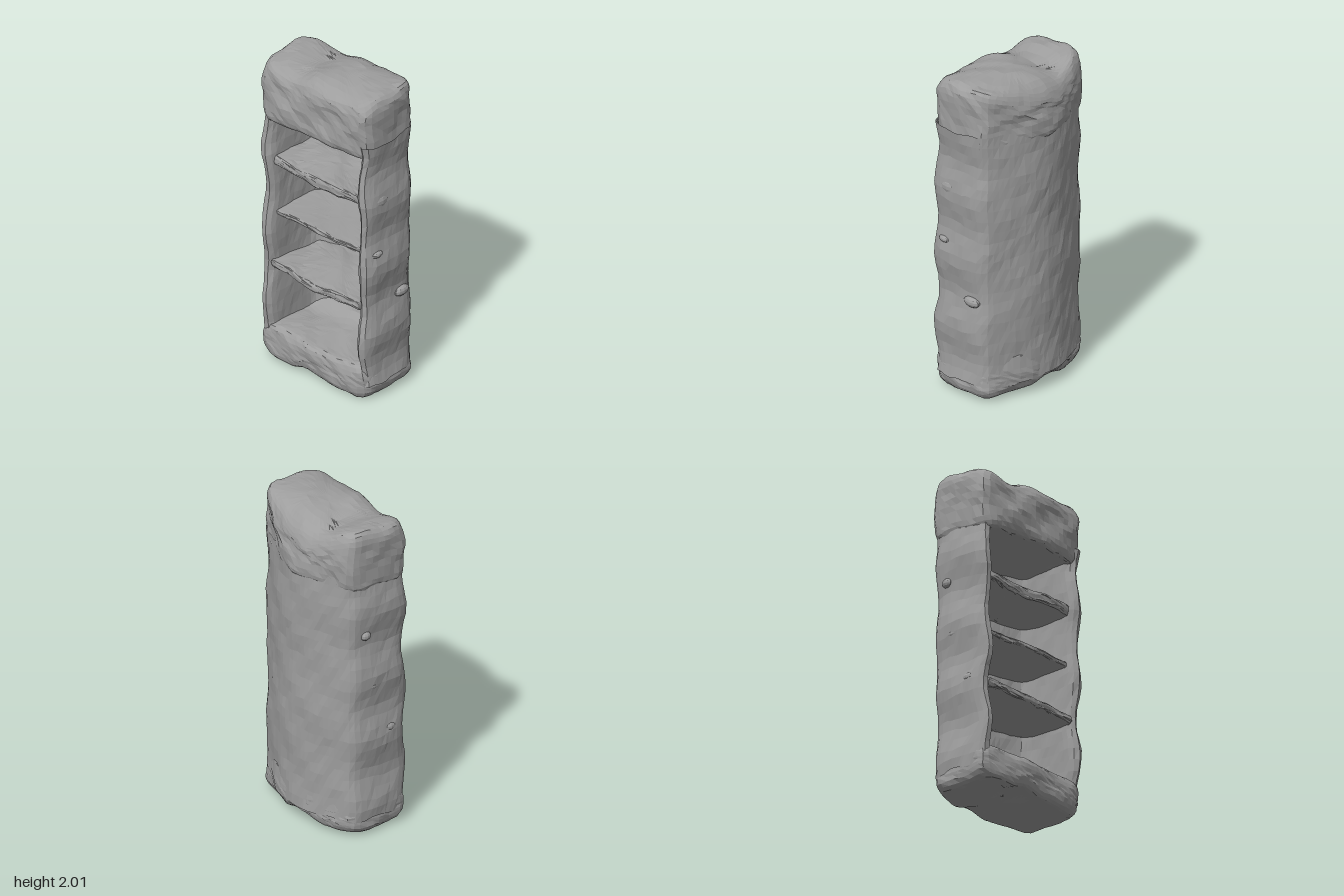
import * as THREE from 'three';

const stone = new THREE.MeshStandardMaterial({ color: 0x9e9e9e, flatShading: true, side: THREE.DoubleSide });

// Smooth rock-like wobble, roughly -1..1
const wobble = (x, y, z, s) =>
  0.45 * Math.sin(9 * x + 7 * y + 5 * z + s) +
  0.35 * Math.sin(-17 * x + 13 * y + 15 * z + 2.3 * s) +
  0.2 * Math.sin(31 * x - 37 * y + 29 * z + 4.1 * s);

// Repeatable fine grit, -1..1
const grit = (a, b) => {
  const t = Math.sin(a * 12.9898 + b * 78.233) * 43758.5453;
  return 2 * (t - Math.floor(t)) - 1;
};

// Closed outline through [x, z] points, resampled evenly
function outline(points, count, tension = 0.3) {
  const curve = new THREE.CatmullRomCurve3(
    points.map(([x, z]) => new THREE.Vector3(x, 0, z)), true, 'catmullrom', tension);
  return curve.getSpacedPoints(count).slice(0, count);
}

// Mirrors the +x half of an outline (front to back) onto -x
const mirrored = half => [...half, ...half.filter(p => p[0] > 0).reverse().map(([x, z]) => [-x, z])];

// Stacks scaled copies of an outline, [y, scale], and roughens the surface
function roughLoft(name, plan, rings, amount, seed, shape) {
  const pos = [], index = [], n = plan.length, v = new THREE.Vector3();
  rings.forEach(([y, s], r) => plan.forEach((p, i) => {
    v.set(p.x * s, y, p.z * s);
    const { x, z } = v, g = 0.22 * s * s;
    v.x += s * amount[0] * (wobble(x, y, z, seed) + g * grit(i, r + seed));
    v.y += amount[1] * (wobble(z, x, y, seed + 2) + g * grit(i + 90, r + seed));
    v.z += s * amount[2] * (wobble(y, z, x, seed + 4) + g * grit(i + 180, r + seed));
    shape(v);
    pos.push(v.x, v.y, v.z);
  }));
  for (let r = 0; r < rings.length - 1; r++) {
    for (let i = 0; i < n; i++) {
      const a = r * n + i, b = r * n + (i + 1) % n;
      index.push(a, b, a + n, b, b + n, a + n);
    }
  }
  const geo = new THREE.BufferGeometry();
  geo.setAttribute('position', new THREE.Float32BufferAttribute(pos, 3));
  geo.setIndex(index);
  geo.computeVertexNormals();
  const mesh = new THREE.Mesh(geo, stone);
  mesh.name = name;
  return mesh;
}

// Rings of a rounded slab: flat bottom, rounded rims, flat top
function slabRings(y0, y1, rim, inset, layers) {
  const flat = [0.001, 0.2, 0.4, 0.6, 0.8, 0.92].map(s => s * (1 - inset));
  const arc = [0, 1, 2, 3, 4].map(i => i * Math.PI / 8)
    .map(a => [1 - inset + inset * Math.sin(a), rim * (1 - Math.cos(a))]);
  const rings = [...flat.map(s => [y0, s]), ...arc.map(([s, d]) => [y0 + d, s])];
  for (let i = 1; i < layers; i++) rings.push([y0 + rim + (y1 - y0 - 2 * rim) * i / layers, 1]);
  return [...rings, ...arc.reverse().map(([s, d]) => [y1 - d, s]), ...flat.reverse().map(s => [y1, s])];
}

const dent = (x, centre, width) => Math.exp(-(((x - centre) / width) ** 2));

export function createModel() {
  const model = new THREE.Group();
  model.name = 'stoneBookcase';

  // Bow-backed plan shared by the top and bottom blocks
  const blockPlan = outline(mirrored([
    [0, 0.268], [0.2, 0.262], [0.36, 0.248], [0.41, 0.205], [0.425, 0.05],
    [0.418, -0.11], [0.38, -0.165], [0.25, -0.22], [0.12, -0.262], [0, -0.276],
  ]), 60);

  model.add(roughLoft('topBlock', blockPlan, slabRings(1.61, 1.994, 0.08, 0.12, 5), [0.012, 0.013, 0.016], 1, v => {
    if (v.y > 1.75) {
      // Crown falls away to the front and, more, to the bowed back
      const rise = (v.y - 1.75) / 0.25;
      v.y -= rise * (v.z > 0 ? 0.06 : 0.12) * (v.z / 0.26) ** 4;
      v.y -= rise * 0.04 * dent(v.x, -0.17, 0.1);
    } else if (v.y < 1.7) v.y -= 0.03 * dent(Math.abs(v.x), 0.42, 0.08);
  }));

  model.add(roughLoft('baseBlock', blockPlan, slabRings(0.012, 0.225, 0.07, 0.14, 4), [0.012, 0.012, 0.014], 5, v => {
    v.x = v.x * 0.99 - 0.004;
    if (v.y < 0.08) {
      v.y += 0.03 * dent(v.x, -0.05, 0.09);
      if (v.z < 0) v.y += 0.05 * (v.z / 0.27) ** 4;
    } else if (v.y > 0.19 && v.z < -0.03) {
      // Floor sweeps up into the back
      v.y += 0.05 * Math.min(1, (-0.03 - v.z) / 0.12) ** 2;
    }
  }));

  // U-shaped shell: two side posts joined by a bowed back
  const shellPlan = outline(mirrored([
    [0, -0.205], [0.16, -0.185], [0.29, -0.14], [0.32, -0.1], [0.328, 0.05],
    [0.332, 0.2], [0.36, 0.245], [0.395, 0.235], [0.415, 0.17], [0.422, 0],
    [0.412, -0.11], [0.375, -0.163], [0.25, -0.218], [0.12, -0.26], [0, -0.273],
  ]).reverse(), 92, 0.25);
  const shellRings = [];
  for (let i = 0; i <= 24; i++) shellRings.push([0.1 + 1.6 * i / 24, 1]);
  model.add(roughLoft('sidesAndBack', shellPlan, shellRings, [0.006, 0.015, 0.008], 9, v => {
    // Posts swell and pinch along their height
    const outer = Math.max(0, Math.abs(v.x) - 0.33) / 0.08;
    v.x += Math.sign(v.x) * outer * 0.011 * Math.sin(v.y * 15 + v.x * 3);
    if (v.z > 0.1) v.z += 0.014 * Math.cos((v.y - 0.87) * 13);
  }));

  // Shelves: y, half thickness, roughness, forward reach
  const shelfPlan = outline(mirrored([
    [0, 0.19], [0.2, 0.185], [0.35, 0.175], [0.37, 0.1], [0.37, -0.1],
    [0.34, -0.14], [0.2, -0.195], [0, -0.22],
  ]), 48, 0.2);
  const shelves = [[0.618, 0.024, 0.015, 1.25], [0.968, 0.016, 0.005, 1.07], [1.31, 0.03, 0.017, 1.17]];
  shelves.forEach(([y, h, rough, reach], i) => {
    model.add(roughLoft('shelf', shelfPlan, slabRings(y - h, y + h, h * 0.7, 0.05, 1),
      [0.004, rough, 0.012], 3 + i * 2, v => { if (v.z > 0) v.z *= reach; }));
  });

  // Shelf ends showing through the sides: x side, y, z, height, length
  const knobs = [
    [1, 1.31, 0.12, 0.045, 0.065], [1, 0.965, 0.15, 0.022, 0.045], [1, 0.63, -0.06, 0.032, 0.06],
    [-1, 1.31, -0.05, 0.03, 0.035], [-1, 0.97, 0, 0.025, 0.05], [-1, 0.66, 0.12, 0.03, 0.045],
  ];
  for (const [side, y, z, h, l] of knobs) {
    const knob = new THREE.Mesh(new THREE.SphereGeometry(1, 10, 7), stone);
    knob.name = 'shelfEnd';
    knob.scale.set(0.028, h, l);
    knob.position.set(side * 0.406, y, z);
    model.add(knob);
  }

  // Stand on the ground, centred
  const box = new THREE.Box3().setFromObject(model, true);
  const mid = box.getCenter(new THREE.Vector3());
  model.position.set(-mid.x, -box.min.y, -mid.z);
  return model;
}
